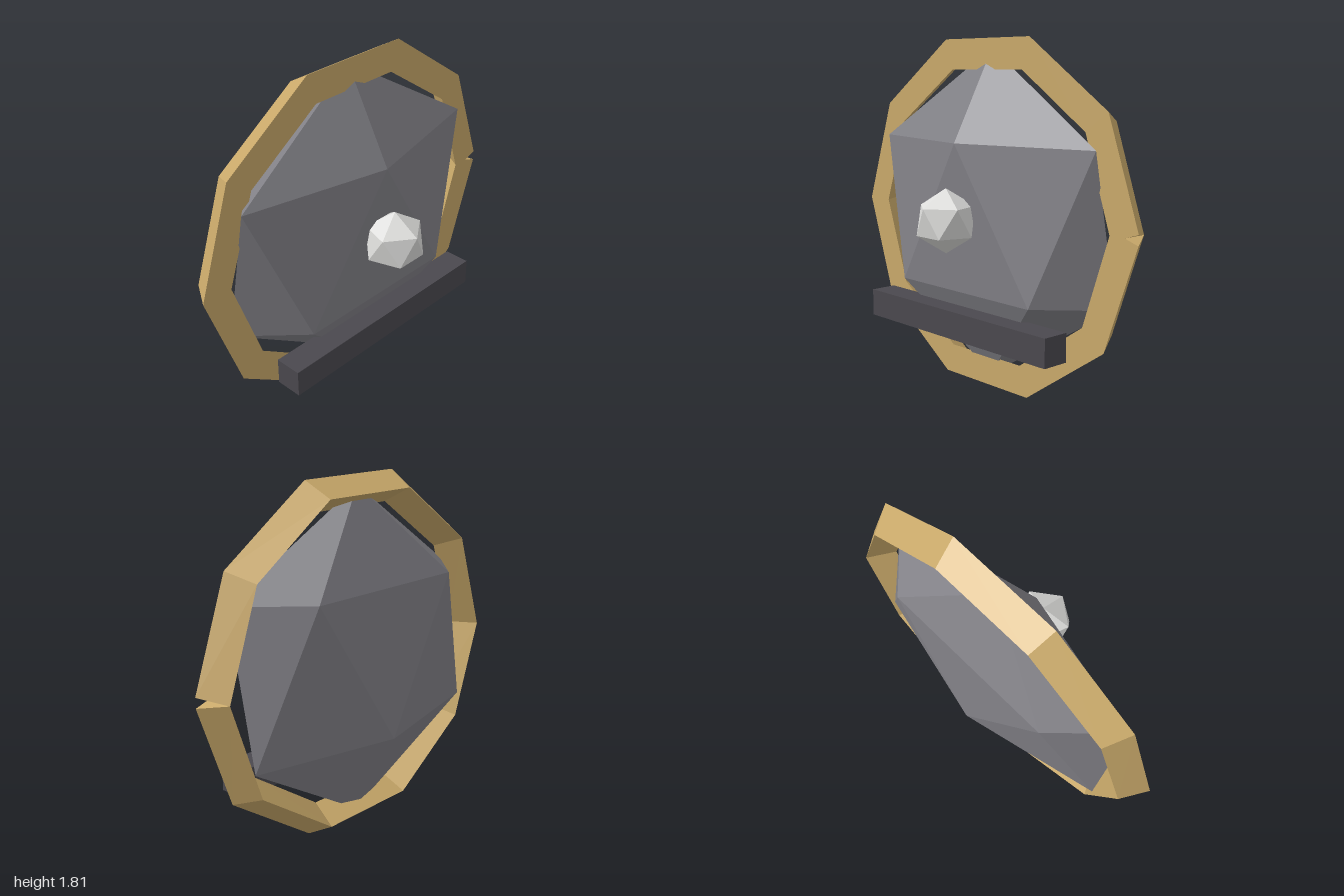
import * as THREE from 'three';
import { ConvexGeometry } from 'three/addons/geometries/ConvexGeometry.js';

const CENTRE_Y = 0.91;

function material(name, color) {
  const m = new THREE.MeshStandardMaterial({ color, flatShading: true });
  m.name = name;
  return m;
}

// Twenty-sided gem with poles on y and an upper corner towards +x
function gem(rx, ry, rz) {
  const ring = 2 / Math.sqrt(5), rise = 1 / Math.sqrt(5);
  const points = [new THREE.Vector3(0, ry, 0), new THREE.Vector3(0, -ry, 0)];
  for (let i = 0; i < 10; i++) {
    const a = (i * Math.PI) / 5;
    const side = i % 2 ? -1 : 1;
    points.push(new THREE.Vector3(rx * ring * Math.cos(a), side * ry * rise, rz * ring * Math.sin(a)));
  }
  return new ConvexGeometry(points);
}

// Open ten-segment hoop of triangular section, with square-cut ends meeting at -z
function hoop() {
  const segments = 10, step = (Math.PI * 2) / segments;
  const rz = 0.917, ry = 0.871, half = 0.083, faceX = -0.06, ridgeX = -0.2;
  const sections = [];
  for (let i = 0; i <= segments; i++) {
    const a = Math.PI + i * step;
    const tilt = a + (i === 0 ? step / 2 : i === segments ? -step / 2 : 0);
    const z = rz * Math.cos(a), y = CENTRE_Y + ry * Math.sin(a);
    const dz = half * Math.cos(tilt), dy = half * Math.sin(tilt);
    sections.push([
      [faceX, y + dy, z + dz],
      [faceX, y - dy, z - dz],
      [ridgeX, y, z],
    ]);
  }
  const position = [];
  const tri = (...corners) => corners.forEach((p) => position.push(...p));
  for (let s = 0; s < segments; s++) {
    const p = sections[s], q = sections[s + 1];
    for (let i = 0; i < 3; i++) {
      const j = (i + 1) % 3;
      tri(p[i], p[j], q[j]);
      tri(p[i], q[j], q[i]);
    }
  }
  // End caps
  const first = sections[0], last = sections[segments];
  tri(first[2], first[1], first[0]);
  tri(last[0], last[1], last[2]);
  const g = new THREE.BufferGeometry();
  g.setAttribute('position', new THREE.Float32BufferAttribute(position, 3));
  g.computeVertexNormals();
  return g;
}

export function createModel() {
  const group = new THREE.Group();
  group.name = 'roundShield';
  const brass = material('brass', 0xc9a96a);
  const stone = material('greyStone', 0x828187);
  const dark = material('darkGrey', 0x4a484e);
  const pale = material('paleGrey', 0xdcdcda);

  const add = (name, geometry, mat, x = 0, y = 0, z = 0) => {
    const mesh = new THREE.Mesh(geometry, mat);
    mesh.name = name;
    mesh.position.set(x, y, z);
    group.add(mesh);
  };

  add('rim', hoop(), brass);
  add('body', gem(0.291, 0.861, 0.906), stone, -0.105, CENTRE_Y);
  add('boss', gem(0.165, 0.165, 0.165), pale, 0.21, CENTRE_Y);
  add('crossBar', new THREE.BoxGeometry(0.145, 0.145, 1.33), dark, 0.112, 0.367);
  return group;
}
